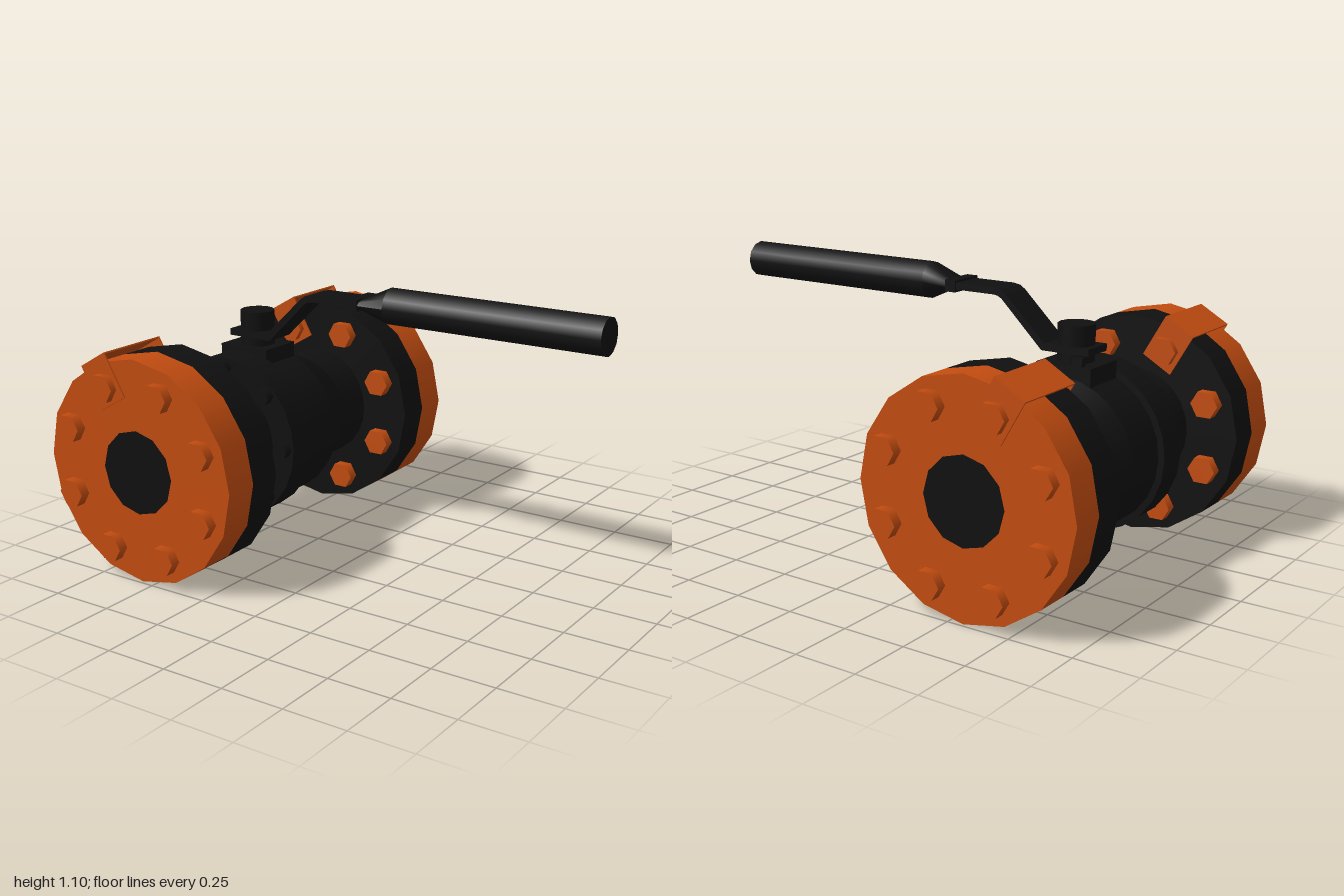
import * as THREE from 'three';

const orange = new THREE.MeshStandardMaterial({ color: 0xc24c10 });
orange.name = 'orange paint';
const black = new THREE.MeshStandardMaterial({ color: 0x101010 });
black.name = 'black paint';

const CX = -0.557, CY = 0.444; // pipe axis
const LZ = -0.02;              // lever centre in z

export function createModel() {
  const model = new THREE.Group();
  model.name = 'flangedValve';

  function add(name, geometry, material, parent = model) {
    const mesh = new THREE.Mesh(geometry, material);
    mesh.name = name;
    parent.add(mesh);
    return mesh;
  }
  // Drum along z between z0 and z1, with radius r0 at z0 and r1 at z1
  function drum(name, z0, z1, r0, r1, sides, material, x = CX, y = CY, start = 0) {
    const g = new THREE.CylinderGeometry(r1, r0, z1 - z0, sides, 1, false, start);
    g.rotateX(Math.PI / 2);
    return add(name, g.translate(x, y, (z0 + z1) / 2), material);
  }
  function box(name, x0, x1, y0, y1, z0, z1, material, parent) {
    const g = new THREE.BoxGeometry(x1 - x0, y1 - y0, z1 - z0);
    g.translate((x0 + x1) / 2, (y0 + y1) / 2, (z0 + z1) / 2);
    return add(name, g, material, parent);
  }

  // Valve body
  drum('pipe', -0.46, 0.46, 0.232, 0.232, 24, black);
  drum('bodyTaper', -0.3, -0.12, 0.232, 0.31, 24, black);
  drum('bodyBarrel', -0.12, 0.07, 0.31, 0.31, 24, black);
  drum('bodyCollar', 0.07, 0.2, 0.335, 0.335, 24, black);
  for (let i = 0; i < 8; i++) {
    const a = (i * Math.PI) / 4;
    drum('bodyBolt', 0.19, 0.235, 0.031, 0.031, 6, black,
      CX + 0.295 * Math.cos(a), CY + 0.295 * Math.sin(a), Math.PI / 2);
  }

  // End flanges with bolts, nuts and a strap over the rim
  for (const s of [1, -1]) {
    const span = (name, a, b, ...rest) =>
      drum(name, Math.min(s * a, s * b), Math.max(s * a, s * b), ...rest);
    span('innerFlange', 0.457, 0.597, 0.443, 0.443, 16, black);
    span('outerFlange', 0.597, 0.737, 0.443, 0.443, 16, orange);
    span('bore', 0.7, 0.739, 0.166, 0.166, 12, black);
    for (let i = 0; i < 8; i++) {
      const a = ((i + 0.5) * Math.PI) / 4;
      const x = CX + 0.345 * Math.cos(a), y = CY + 0.345 * Math.sin(a);
      span('flangeBolt', 0.73, 0.778, 0.057, 0.057, 6, orange, x, y, Math.PI / 2);
      span('flangeNut', 0.414, 0.46, 0.057, 0.057, 6, orange, x, y, Math.PI / 2);
    }
    const strap = new THREE.Group();
    strap.name = 'rimStrap';
    strap.position.set(-0.7, 0.783, s * 0.595);
    strap.rotation.z = Math.PI / 6;
    const w = 0.069, h = 0.093;
    box('strapTop', -w, w, h - 0.006, h, -0.155, 0.155, orange, strap);
    for (const z of [-0.155, 0.149]) {
      box('strapSide', -w, w, -h, h, z, z + 0.006, orange, strap);
    }
    model.add(strap);
  }

  // Stem on top of the body
  box('topPad', -0.68, -0.45, 0.68, 0.795, -0.12, 0.07, black);
  box('leverStop', -0.64, -0.6, 0.78, 0.826, -0.115, -0.088, black);
  const stem = new THREE.CylinderGeometry(0.07, 0.07, 0.185, 12);
  add('stem', stem.translate(-0.56, 0.843, LZ), black);

  // Bent flat lever
  const outline = new THREE.Shape([
    [-0.65, 0.83], [-0.45, 0.83], [-0.272, 1.003], [-0.255, 1.012], [-0.235, 1.015], [-0.05, 1.015],
    [-0.05, 1.041], [-0.24, 1.041], [-0.268, 1.036], [-0.29, 1.022], [-0.462, 0.857], [-0.65, 0.857],
  ].map(([x, y]) => new THREE.Vector2(x, y)));
  const lever = new THREE.ExtrudeGeometry(outline, { depth: 0.134, bevelEnabled: false });
  add('lever', lever.translate(0, 0, LZ - 0.067), black);
  box('leverCollar', -0.065, -0.018, 1.005, 1.05, LZ - 0.075, LZ + 0.075, black);

  // Grip: a tube flattened at its inner end
  const grip = new THREE.CylinderGeometry(0.073, 0.073, 0.905, 12);
  grip.rotateZ(-Math.PI / 2);
  add('grip', grip.translate(0.5475, 1.028, LZ), black);
  const neck = new THREE.CylinderGeometry(0.073, 0.073, 0.115, 12);
  neck.rotateZ(-Math.PI / 2);
  const p = neck.attributes.position;
  for (let i = 0; i < p.count; i++) if (p.getX(i) < 0) p.setY(i, p.getY(i) * 0.28);
  neck.computeVertexNormals();
  add('gripNeck', neck.translate(0.0375, 1.028, LZ), black);

  return model;
}
